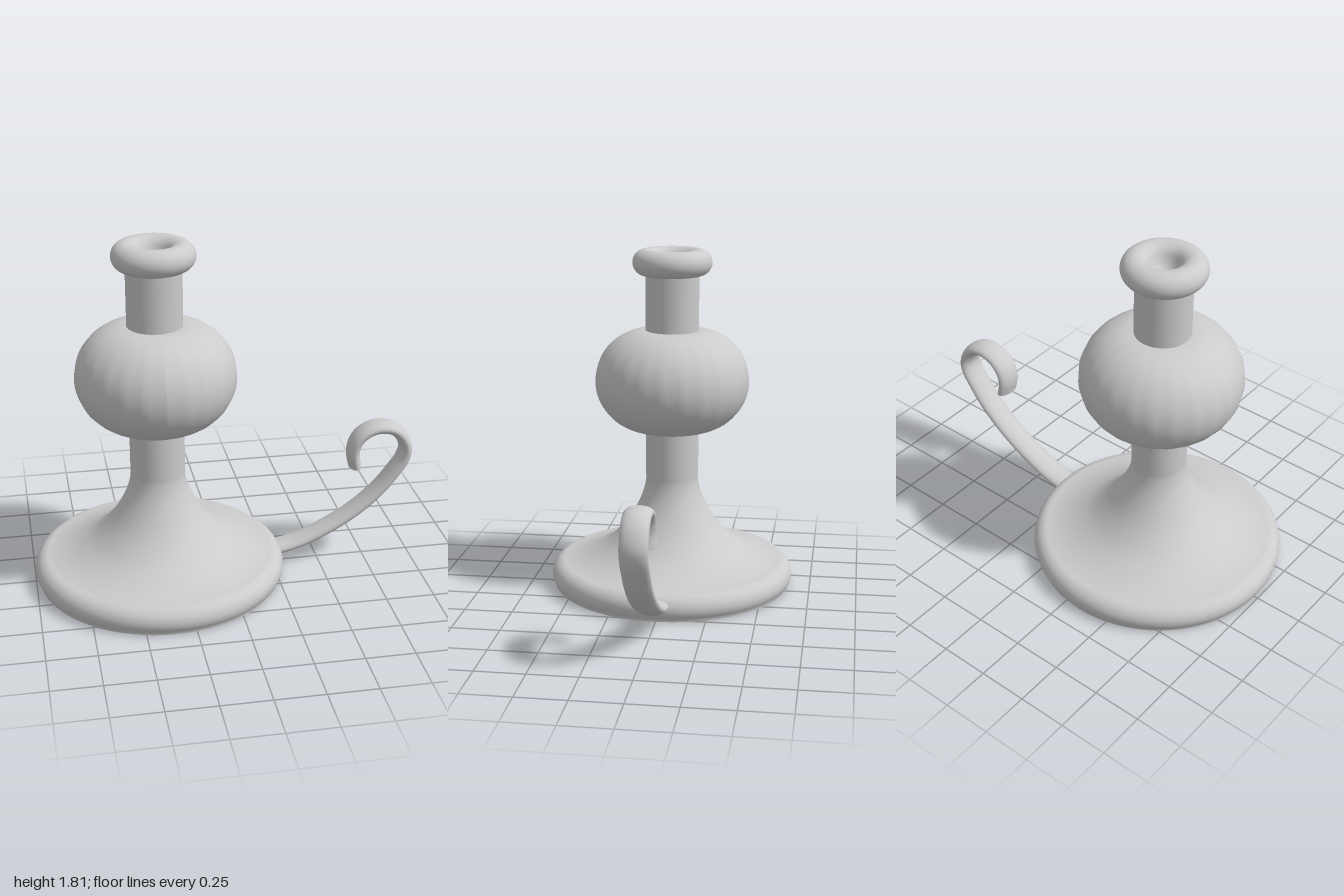
import * as THREE from 'three';

const AXIS_X = -0.35;
const STEM_R = 0.14;
const material = new THREE.MeshStandardMaterial({ color: 0xcccccc, side: THREE.DoubleSide });

const v2 = (x, y) => new THREE.Vector2(x, y);

// points on a circular arc, angles in degrees
function arc(cx, cy, r, from, to, steps) {
  return Array.from({ length: steps + 1 }, (_, i) => {
    const a = THREE.MathUtils.degToRad(from + (to - from) * i / steps);
    return v2(cx + r * Math.cos(a), cy + r * Math.sin(a));
  });
}

function add(group, name, geometry) {
  const mesh = new THREE.Mesh(geometry, material);
  mesh.name = name;
  group.add(mesh);
  return mesh;
}

const lathe = (points) => new THREE.LatheGeometry(points, 96);

export function createModel() {
  const model = new THREE.Group();
  model.name = 'candlestick';
  const body = new THREE.Group();
  body.name = 'body';
  body.position.x = AXIS_X;
  model.add(body);

  // flat underside
  const underside = add(body, 'underside', new THREE.CircleGeometry(0.632, 96));
  underside.rotation.x = Math.PI / 2;

  // round-edged plate sweeping up in a flare into the stem
  const flare = new THREE.SplineCurve([
    v2(0.57, 0.135), v2(0.5, 0.152), v2(0.42, 0.185), v2(0.34, 0.235),
    v2(0.26, 0.315), v2(0.2, 0.405), v2(0.158, 0.495), v2(STEM_R, 0.57), v2(STEM_R, 0.62),
  ]).getPoints(40);
  add(body, 'baseAndFlare', lathe([
    v2(0.632, 0), ...arc(0.575, 0.06, 0.075, -40, 90, 14), ...flare.slice(1),
  ]));

  // straight stem running through the bulb
  add(body, 'stem', new THREE.CylinderGeometry(STEM_R, STEM_R, 1.13, 64, 1, true)).position.y = 1.165;

  // bulb with very shallow ribs that fade out at top and bottom
  const bulb = lathe(arc(STEM_R, 1.116, 0.267, -90, 90, 40));
  const p = bulb.attributes.position;
  for (let i = 0; i < p.count; i++) {
    const x = p.getX(i), z = p.getZ(i);
    const fade = (Math.hypot(x, z) - STEM_R) / 0.267;
    const k = 1 - 0.005 * fade * (1 - Math.cos(24 * Math.atan2(z, x)));
    p.setX(i, x * k);
    p.setZ(i, z * k);
  }
  bulb.computeVertexNormals();
  add(body, 'bulb', bulb);

  // rounded lip dipping into a shallow candle socket
  add(body, 'lipAndSocket', lathe([
    ...arc(STEM_R, 1.738, 0.068, -90, 160, 32),
    v2(0.065, 1.735), v2(0.05, 1.71), v2(0.028, 1.695), v2(0, 1.69),
  ]));

  // curled handle: a tube widened sideways to an oval section
  const handle = new THREE.Group();
  handle.name = 'handle';
  handle.scale.z = 2.1;
  model.add(handle);
  const path = new THREE.CatmullRomCurve3([
    [0.24, 0.075], [0.38, 0.106], [0.54, 0.175], [0.69, 0.265], [0.82, 0.375], [0.91, 0.485],
    [0.955, 0.555], [0.967, 0.615], [0.94, 0.685], [0.89, 0.728], [0.82, 0.742],
    [0.75, 0.722], [0.7, 0.673], [0.682, 0.605], [0.695, 0.527],
  ].map(([x, y]) => new THREE.Vector3(x, y, 0)));
  const r = 0.0325;
  add(handle, 'handleCurl', new THREE.TubeGeometry(path, 96, r, 24));
  for (const [name, t, sign] of [['handleRoot', 0, -1], ['handleTip', 1, 1]]) {
    const cap = add(handle, name, new THREE.CircleGeometry(r, 24));
    cap.position.copy(path.getPoint(t));
    cap.quaternion.setFromUnitVectors(
      new THREE.Vector3(0, 0, 1), path.getTangent(t).multiplyScalar(sign));
  }

  return model;
}
